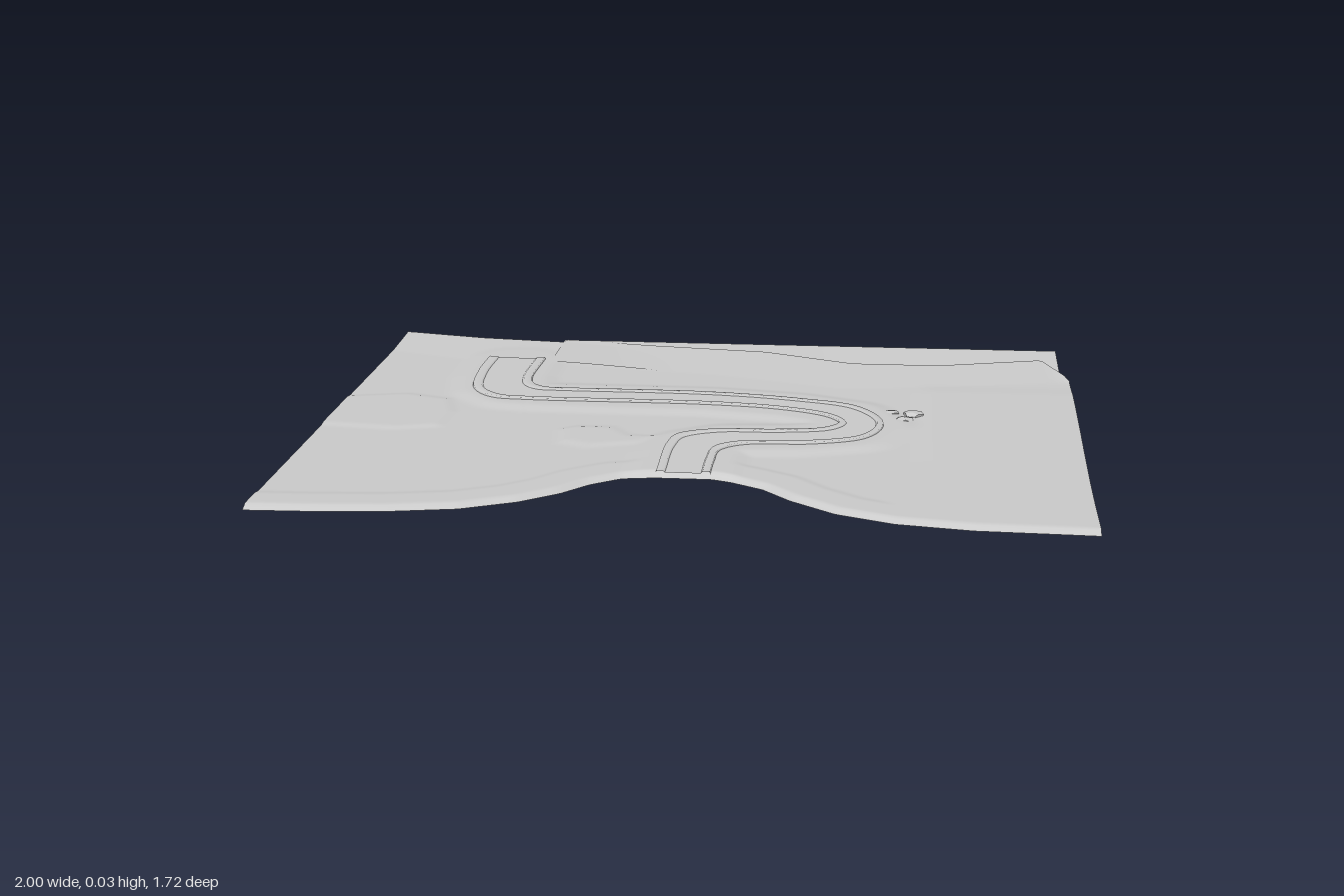
import * as THREE from 'three';

const material = new THREE.MeshStandardMaterial({ color: 0xcccccc, side: THREE.DoubleSide });

// Outline of the land: curved cove at the front, irregular edge at the back
const frontEdge = [[-1, .86], [-.85, .855], [-.67, .84], [-.5, .805], [-.37, .74], [-.28, .665], [-.22, .59], [-.15, .535],
  [-.07, .52], [.07, .52], [.12, .54], [.2, .59], [.27, .67], [.38, .76], [.52, .82], [.7, .85], [1, .86]];
const backEdge = [[-1, -.863], [-.75, -.805], [-.5, -.775], [-.49, -.805], [-.22, -.755], [.12, -.71], [.38, -.595],
  [.63, -.595], [.93, -.685], [1, -.48]];

// Foot of the slope that climbs to the back edge
const hillFoot = [[-1, -.66], [-.75, -.57], [-.48, -.54], [0, -.46], [.36, -.34], [.6, -.38], [1, -.47]];

// Two sides of the winding road
const roadLeft = [[-.68, -.57], [-.68, -.4], [-.655, -.22], [-.59, -.14], [-.5, -.125], [0, -.12], [.2, -.09], [.33, -.03],
  [.37, .04], [.33, .1], [.2, .13], [.05, .14], [-.04, .19], [-.06, .27], [-.06, .52]];
const roadRight = [[-.53, -.57], [-.53, -.35], [-.51, -.27], [-.47, -.235], [-.4, -.23], [0, -.225], [.25, -.18], [.4, -.12],
  [.475, .03], [.43, .17], [.3, .23], [.13, .25], [.07, .3], [.06, .4], [.06, .52]];
const roadMiddle = roadLeft.map((p, i) => [(p[0] + roadRight[i][0]) / 2, (p[1] + roadRight[i][1]) / 2]);

// Low flat-topped mounds
const mounds = [
  [[-1.2, -.1], [-.84, -.19], [-.7, -.14], [-.66, 0], [-.67, .15], [-.8, .19], [-1.2, .14]],
  [[-.38, .13], [-.33, .09], [-.22, .09], [-.17, .16], [-.06, .17], [-.14, .26], [-.27, .305], [-.36, .265]],
];

const lerp = THREE.MathUtils.lerp;
const smooth = THREE.MathUtils.smoothstep;

function zAt(line, x) {
  let i = 1;
  while (i < line.length - 1 && x > line[i][0]) i++;
  const [a, b] = [line[i - 1], line[i]];
  return lerp(a[1], b[1], (x - a[0]) / (b[0] - a[0]));
}

function distanceTo(line, x, z) {
  let best = Infinity;
  for (let i = 1; i < line.length; i++) {
    const [ax, az] = line[i - 1], dx = line[i][0] - ax, dz = line[i][1] - az;
    const t = THREE.MathUtils.clamp(((x - ax) * dx + (z - az) * dz) / (dx * dx + dz * dz), 0, 1);
    best = Math.min(best, Math.hypot(x - ax - t * dx, z - az - t * dz));
  }
  return best;
}

function inside(poly, x, z) {
  let hit = false;
  poly.forEach(([ax, az], i) => {
    const [bx, bz] = poly[(i + 1) % poly.length];
    if ((az > z) !== (bz > z) && x < ax + (z - az) / (bz - az) * (bx - ax)) hit = !hit;
  });
  return hit;
}

function groundHeight(x, z) {
  let y = .014;
  for (const m of mounds) {
    const d = distanceTo([...m, m[0]], x, z);
    if (inside(m, x, z)) y = lerp(y, .018, smooth(d, 0, .035));
  }
  // raised rim behind the cove and raised field on the right
  const edge = distanceTo(frontEdge, x, z);
  const rim = 1 - smooth(edge, .1, .135);
  const field = smooth(x + Math.max(0, z - .35) * .25, .54, .62) * smooth(z, -.42, -.3);
  y = lerp(y, .018, Math.max(rim, field));
  // slope up to the back
  const foot = zAt(hillFoot, x), back = zAt(backEdge, x);
  if (z < foot) y = lerp(y, .023, Math.min(1, (foot - z) / Math.max(.05, foot - back)));
  // embankment carrying the road
  const bank = 1 - smooth(distanceTo(roadMiddle, x, z), .1, .165);
  y = lerp(y, .0215, bank);
  // outer edge drops away at the front
  return lerp(.008, y, smooth(edge, 0, .028));
}

// Surface from a grid of points: point(u, v) returns [x, y, z]
function surface(name, nu, nv, point) {
  const g = new THREE.PlaneGeometry(1, 1, nu, nv);
  const p = g.attributes.position;
  for (let j = 0, k = 0; j <= nv; j++)
    for (let i = 0; i <= nu; i++, k++) p.setXYZ(k, ...point(i / nu, j / nv));
  g.computeVertexNormals();
  const mesh = new THREE.Mesh(g, material);
  mesh.name = name;
  return mesh;
}

export function createModel() {
  const model = new THREE.Group();
  model.name = 'landscape';

  model.add(surface('ground', 180, 150, (u, v) => {
    const x = -1 + 2 * u;
    const z = lerp(zAt(backEdge, x), zAt(frontEdge, x), v);
    // the right border sits slightly further in at both ends
    const inset = .015 * smooth(x, .9, 1) * smooth(z, -.47, .75);
    return [x - inset, groundHeight(x, z), z];
  }));

  // Lower layer that fills the back right corner
  model.add(surface('backSlope', 24, 8, (u, v) => {
    const x = lerp(-.5, .98, u);
    const z = lerp(-.805, Math.min(-.42, zAt(hillFoot, x)), v);
    return [x, .022 - .022 * v * smooth(x, -.5, .4), z];
  }));

  // Road with a raised kerb on either side: [fraction across, height]
  const section = [[-.06, .021], [-.05, .027], [.1, .027], [.13, .023], [.87, .023], [.9, .027], [1.05, .027], [1.06, .021]];
  const curve = (pts) => new THREE.CatmullRomCurve3(pts.map(([x, z]) => new THREE.Vector3(x, 0, z)), false, 'centripetal');
  const left = curve(roadLeft), right = curve(roadRight);
  const strips = [['leftKerb', 0, 3], ['roadBed', 3, 4], ['rightKerb', 4, 7]];
  for (const [name, first, last] of strips) {
    const n = last - first;
    model.add(surface(name, n, 112, (u, v) => {
      const [f, y] = section[first + Math.round(u * n)];
      const a = left.getPoint(v), b = right.getPoint(v);
      return [lerp(b.x, a.x, 1 - f), y, lerp(b.z, a.z, 1 - f)];
    }));
  }

  // Three pebbles beside the bend
  [[.5, -.095, .022], [.56, -.085, .03], [.535, -.03, .026]].forEach(([x, z, r], i) => {
    const pebble = new THREE.Mesh(new THREE.DodecahedronGeometry(r), material);
    pebble.name = 'pebble' + (i + 1);
    pebble.scale.y = .3;
    pebble.rotation.y = i * 1.3;
    pebble.position.set(x, .017, z);
    model.add(pebble);
  });

  return model;
}
